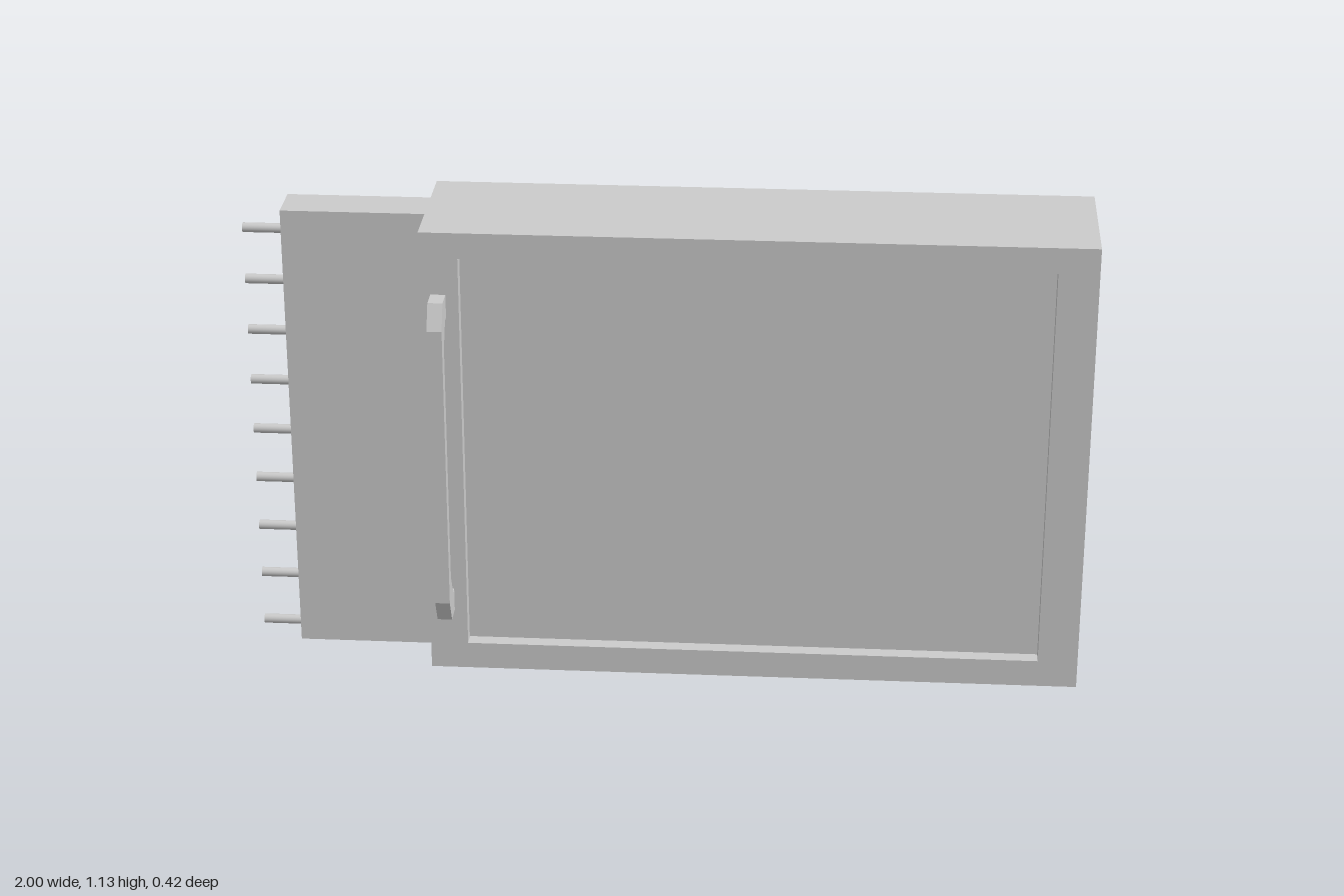
import * as THREE from 'three';

const material = new THREE.MeshStandardMaterial({ color: 0xcccccc });

function add(group, name, geometry) {
  const mesh = new THREE.Mesh(geometry, material);
  mesh.name = name;
  group.add(mesh);
  return mesh;
}

// Box given by its two opposite corners
function boxBetween(x0, x1, y0, y1, z0, z1) {
  return new THREE.BoxGeometry(x1 - x0, y1 - y0, z1 - z0)
    .translate((x0 + x1) / 2, (y0 + y1) / 2, (z0 + z1) / 2);
}

const points = (list) => list.map(([x, y]) => new THREE.Vector2(x, y));
const rect = (x0, x1, y0, y1) => points([[x0, y0], [x1, y0], [x1, y1], [x0, y1]]);

export function createModel() {
  const model = new THREE.Group();
  model.name = 'plugInModule';
  const height = 1.13, back = -0.211, front = 0.129, recess = 0.035;
  const left = -0.56;

  // Casing: solid rear block and a front frame around the shallow recess
  add(model, 'casing', boxBetween(left, 1, 0, height, back, front - recess));
  const frame = new THREE.Shape(rect(left, 1, 0, height));
  frame.holes.push(new THREE.Path(rect(-0.47, 0.905, 0.067, 1.067)));
  add(model, 'frontFrame', new THREE.ExtrudeGeometry(frame, { depth: recess, bevelEnabled: false })
    .translate(0, 0, front - recess));

  // Thinner connector block at the side
  add(model, 'connectorBlock', boxBetween(-0.9, left, 0, height, -0.099, 0.011));

  // Row of contact pins
  const pins = new THREE.Group();
  pins.name = 'contactPins';
  const pinGeometry = new THREE.CylinderGeometry(0.0115, 0.0115, 0.1, 16).rotateZ(Math.PI / 2);
  for (let i = 0; i < 9; i++) {
    add(pins, 'pin', pinGeometry).position.set(-0.95, 0.025 + i * 0.13, -0.044);
  }
  model.add(pins);

  // Handle: chamfered bracket profile in (z, y), extruded along x
  const lower = [[front, 0.157], [0.181, 0.157], [0.211, 0.216]];
  const inner = [[0.179, 0.27], [0.148, 0.214], [front, 0.214]];
  const mirror = (list) => list.map(([z, y]) => [z, 1.134 - y]).reverse();
  const profile = new THREE.Shape(points([...lower, ...mirror(lower), ...mirror(inner), ...inner]));
  add(model, 'handle', new THREE.ExtrudeGeometry(profile, { depth: 0.035, bevelEnabled: false })
    .rotateY(-Math.PI / 2).translate(-0.5, 0, 0));

  return model;
}
